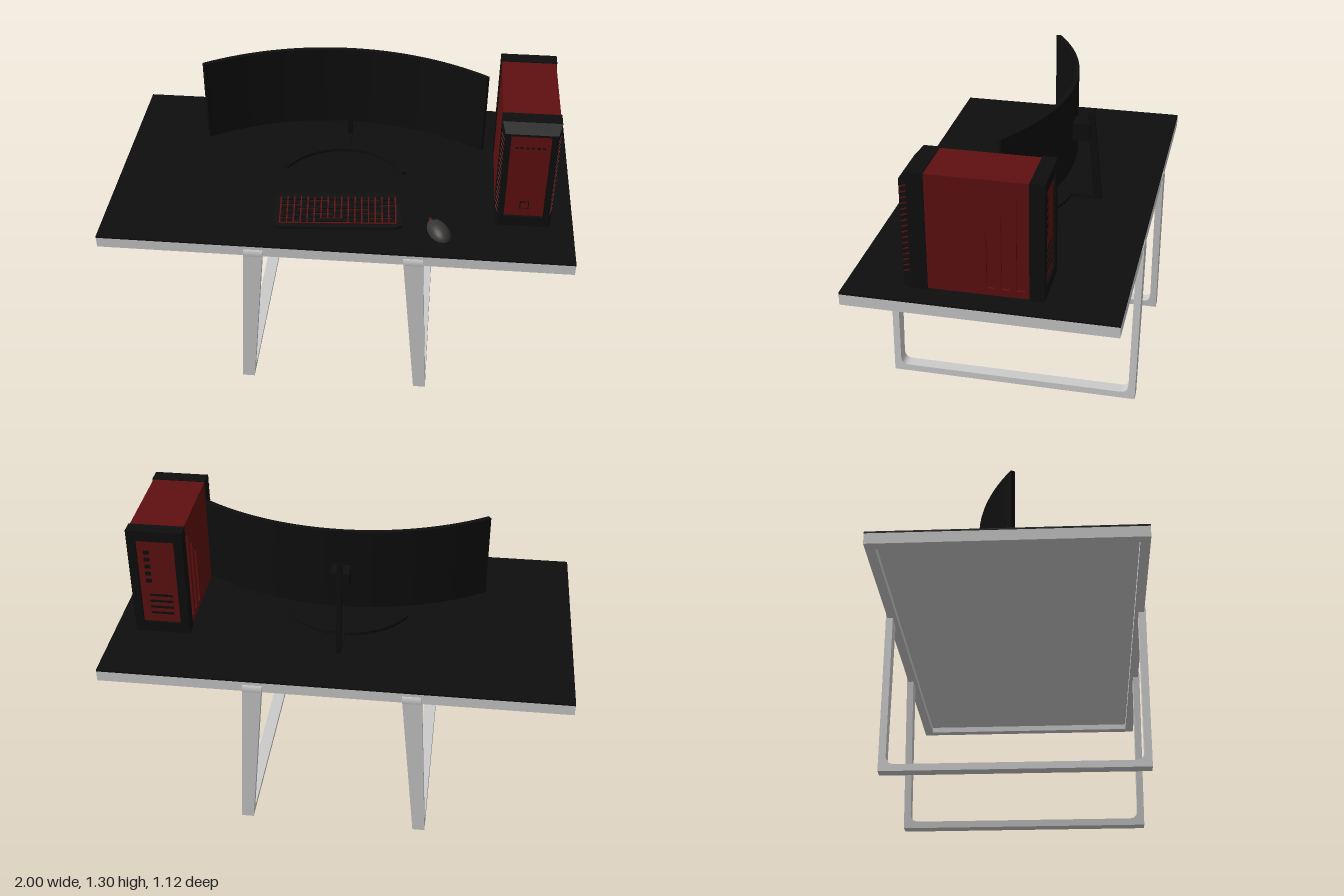
import * as THREE from 'three';

const grey = new THREE.MeshStandardMaterial({ color: 0xcccccc });
const black = new THREE.MeshStandardMaterial({ color: 0x0e0e0e });
const red = new THREE.MeshStandardMaterial({ color: 0x601010 });
const darkGrey = new THREE.MeshStandardMaterial({ color: 0x383434 });

function add(parent, name, geo, mat, x = 0, y = 0, z = 0) {
  const m = new THREE.Mesh(geo, mat);
  m.name = name;
  m.position.set(x, y, z);
  parent.add(m);
  return m;
}
// Box given by its low and high corners
function box(parent, name, mat, x0, x1, y0, y1, z0, z1) {
  return add(parent, name, new THREE.BoxGeometry(x1 - x0, y1 - y0, z1 - z0), mat,
    (x0 + x1) / 2, (y0 + y1) / 2, (z0 + z1) / 2);
}
const poly = (pts) => new THREE.Shape(pts.map((p) => new THREE.Vector2(p[0], p[1])));
const rect = (x0, x1, y0, y1) => poly([[x0, y0], [x1, y0], [x1, y1], [x0, y1]]);
const extrude = (shape, depth, steps = 1, curveSegments = 12) =>
  new THREE.ExtrudeGeometry(shape, { depth, steps, curveSegments, bevelEnabled: false });
// Move every vertex by a rule, then refresh the flat normals
function reshape(geo, rule) {
  const p = geo.attributes.position, v = new THREE.Vector3();
  for (let i = 0; i < p.count; i++) {
    rule(v.fromBufferAttribute(p, i));
    p.setXYZ(i, v.x, v.y, v.z);
  }
  geo.computeVertexNormals();
  return geo;
}
// Flat curved band in plan (shape y becomes z), hanging down from its mesh origin
function arcBand(cz, rIn, rOut, half, height) {
  const s = new THREE.Shape();
  const mid = -Math.PI / 2;
  s.absarc(0, cz, rOut, mid - half, mid + half, false);
  s.absarc(0, cz, rIn, mid + half, mid - half, true);
  return extrude(s, height, 1, 40).rotateX(Math.PI / 2);
}

function makeDesk() {
  const g = new THREE.Group();
  g.name = 'desk';
  box(g, 'deskTop', black, -1, 1, 0.762, 0.77, -0.553, 0.553);
  box(g, 'underPanel', grey, -0.98, 0.98, 0.742, 0.762, -0.54, 0.54);
  const rim = rect(-1, 1, -0.553, 0.553);
  rim.holes.push(rect(-0.96, 0.96, -0.513, 0.513));
  add(g, 'deskFrame', extrude(rim, 0.047).rotateX(Math.PI / 2), grey, 0, 0.762, 0);

  // U-shaped leg loop drawn in (z, y), widening and leaning inward towards the top
  const u = new THREE.Shape();
  u.moveTo(-0.555, 0);
  u.lineTo(0.555, 0);
  u.lineTo(0.56, 0.715);
  u.quadraticCurveTo(0.563, 0.735, 0.555, 0.747);
  u.lineTo(0.53, 0.747);
  u.lineTo(0.525, 0.07);
  u.quadraticCurveTo(0.525, 0.03, 0.485, 0.03);
  u.lineTo(-0.485, 0.03);
  u.quadraticCurveTo(-0.525, 0.03, -0.525, 0.07);
  u.lineTo(-0.53, 0.747);
  u.lineTo(-0.555, 0.747);
  u.quadraticCurveTo(-0.563, 0.735, -0.56, 0.715);
  u.closePath();
  for (const side of [-1, 1]) {
    const geo = extrude(u, 1).translate(0, 0, -0.5).rotateY(-Math.PI / 2);
    reshape(geo, (v) => {
      const t = v.y / 0.747;
      v.x = side * (0.387 - 0.053 * t) + v.x * (0.054 + 0.028 * t);
    });
    add(g, side > 0 ? 'leftLeg' : 'rightLeg', geo, grey);
  }
  return g;
}

function makeMonitor() {
  const g = new THREE.Group();
  g.name = 'monitor';
  add(g, 'curvedScreen', arcBand(0.92, 1.09, 1.11, 0.583, 0.37), black, 0, 1.3, 0);
  box(g, 'screenMount', black, -0.04, 0.04, 1.06, 1.14, -0.262, -0.185);
  // Leaning column, profile in (z, y)
  const column = poly([[-0.32, 0.77], [-0.283, 0.77], [-0.247, 1.18], [-0.275, 1.19]]);
  add(g, 'standColumn', extrude(column, 0.02).translate(0, 0, -0.01).rotateY(-Math.PI / 2), black);
  box(g, 'standStem', black, -0.012, 0.012, 0.77, 0.786, -0.31, -0.165);
  add(g, 'standFoot', arcBand(0.13, 0.285, 0.31, 1.12, 0.015), black, 0, 0.785, 0);
  return g;
}

function makeTower() {
  const g = new THREE.Group();
  g.name = 'computerTower';
  const x0 = 0.665, x1 = 0.905, xc = 0.785;
  const frame = rect(x0, x1, 0.77, 1.275);
  frame.holes.push(rect(0.703, 0.867, 0.82, 1.227));

  // Front bezel with chamfered top and sides
  const bezel = reshape(extrude(frame, 0.1, 2), (v) => {
    if (v.z > 0.01 && v.z < 0.09) v.z = 0.065;
    if (v.z > 0.09) {
      if (v.y > 1.27) v.y = 1.237;
      if (Math.abs(v.x - xc) > 0.11) v.x = xc + Math.sign(v.x - xc) * 0.107;
    }
  });
  add(g, 'frontBezel', bezel, black, 0, 0, 0.22);
  box(g, 'frontPanel', red, 0.7, 0.87, 0.815, 1.23, 0.22, 0.31);
  box(g, 'powerButtonRing', black, 0.766, 0.804, 0.857, 0.895, 0.3, 0.313);
  box(g, 'powerButton', red, 0.77, 0.8, 0.861, 0.891, 0.3, 0.315);
  for (const dx of [-0.055, -0.035, -0.01, 0.01, 0.035, 0.055])
    box(g, 'frontPort', black, xc + dx - 0.006, xc + dx + 0.006, 1.162, 1.17, 0.3, 0.312);

  // Rear frame, panel and sockets
  add(g, 'rearFrame', extrude(frame, 0.06), black, 0, 0, -0.245);
  box(g, 'rearPanel', red, 0.7, 0.87, 0.815, 1.23, -0.235, -0.185);
  for (let i = 0; i < 5; i++)
    box(g, 'rearSocket', black, 0.815, 0.84, 1.02 + i * 0.035, 1.037 + i * 0.035, -0.239, -0.23);
  for (let i = 0; i < 4; i++)
    box(g, 'expansionSlot', black, 0.73, 0.83, 0.86 + i * 0.03, 0.87 + i * 0.03, -0.238, -0.23);

  // Body and side panels with three slanted slots
  box(g, 'body', red, 0.679, 0.891, 0.775, 1.271, -0.187, 0.222);
  const panel = rect(-0.187, 0.222, 0.775, 1.271);
  for (let i = 0; i < 3; i++) {
    const z = -0.016 - i * 0.059, top = 1.06 + i * 0.071;
    panel.holes.push(poly([[z, 0.805], [z, top], [z - 0.034, top + 0.037], [z - 0.034, 0.805]]));
  }
  const panelGeo = extrude(panel, 0.011).rotateY(-Math.PI / 2);
  add(g, 'leftSidePanel', panelGeo, red, 0.901, 0, 0);
  add(g, 'rightSidePanel', panelGeo, red, 0.68, 0, 0);

  // Slanted vents along the bezel edges
  for (const side of [-1, 1])
    for (let i = 0; i < 16; i++) {
      const vent = add(g, 'bezelVent', new THREE.BoxGeometry(0.004, 0.005, 0.034), red,
        xc + side * 0.1135, 0.845 + i * 0.0245, 0.3025);
      vent.rotation.set(0.5, -side * 0.35, 0);
    }
  return g;
}

function makeKeyboard() {
  const g = new THREE.Group();
  g.name = 'keyboard';
  // Wedge case, thicker at the back
  const outline = new THREE.Shape();
  const pts = [[-0.27, -0.09], [-0.25, -0.105], [0.25, -0.105], [0.27, -0.09],
    [0.27, 0.09], [0.25, 0.105], [-0.25, 0.105], [-0.27, 0.09]];
  outline.setFromPoints(pts.map((p) => new THREE.Vector2(p[0], p[1])));
  const height = (z) => 0.022 - z * 0.09;
  add(g, 'keyboardCase', reshape(extrude(outline, 1).rotateX(Math.PI / 2).translate(0, 1, 0),
    (v) => { v.y *= height(v.z); }), black);
  const tilt = Math.atan(0.09);
  add(g, 'backlightPlate', new THREE.BoxGeometry(0.5, 0.004, 0.165), red,
    0, height(0), 0).rotation.x = tilt;
  const key = new THREE.BoxGeometry(0.023, 0.009, 0.02);
  for (let r = 0; r < 6; r++)
    for (let c = 0; c < 17; c++) {
      if (r === 5 && c > 4 && c < 10) continue;
      const z = -0.068 + r * 0.027;
      add(g, 'key', key, black, -0.232 + c * 0.029, height(z) + 0.003, z).rotation.x = tilt;
    }
  const zs = -0.068 + 5 * 0.027;
  add(g, 'spaceBar', new THREE.BoxGeometry(0.139, 0.009, 0.02), black,
    -0.029, height(zs) + 0.003, zs).rotation.x = tilt;
  g.position.set(0, 0.77, 0.31);
  g.rotation.y = 0.075;
  return g;
}

function makeMouse() {
  const g = new THREE.Group();
  g.name = 'mouse';
  // Flattened dome, narrower at the front
  const shell = new THREE.SphereGeometry(1, 28, 10, 0, Math.PI * 2, 0, Math.PI / 2);
  const p = shell.attributes.position;
  for (let i = 0; i < p.count; i++) {
    const z = p.getZ(i);
    p.setXYZ(i, p.getX(i) * (0.043 + 0.006 * z), p.getY(i) * 0.045, z * 0.075);
  }
  shell.computeVertexNormals();
  add(g, 'mouseShell', shell, darkGrey);
  add(g, 'scrollWheel', new THREE.CylinderGeometry(0.011, 0.011, 0.008, 16).rotateZ(Math.PI / 2),
    black, 0, 0.032, -0.046);
  box(g, 'mouseNose', red, -0.006, 0.006, 0.008, 0.022, -0.078, -0.06);
  g.position.set(0.432, 0.77, 0.393);
  g.rotation.y = 0.5;
  return g;
}

export function createModel() {
  const model = new THREE.Group();
  model.name = 'computerDesk';
  model.add(makeDesk(), makeMonitor(), makeTower(), makeKeyboard(), makeMouse());
  return model;
}
